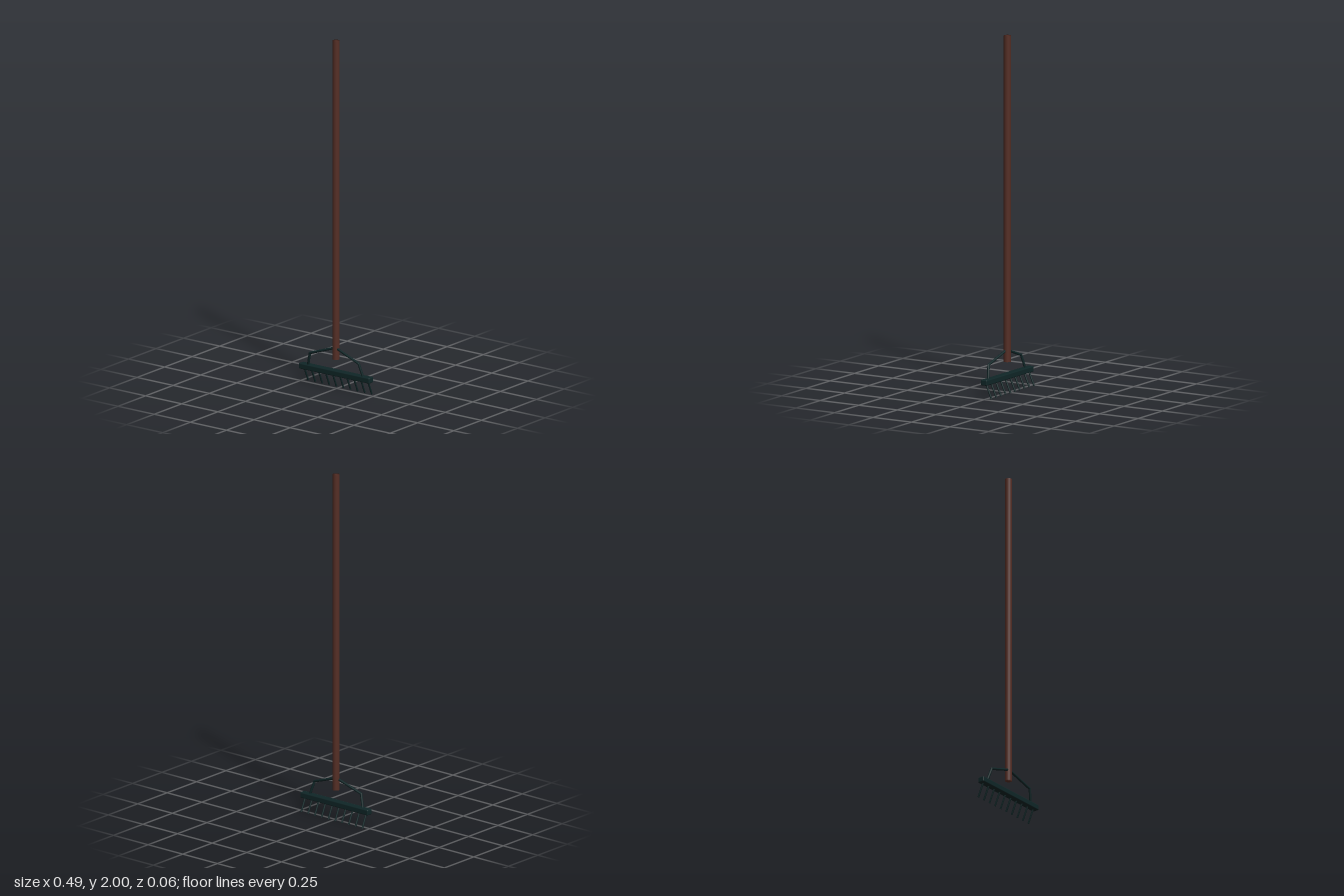
import * as THREE from 'three';
import { mergeVertices } from 'three/addons/utils/BufferGeometryUtils.js';
import { RoundedBoxGeometry } from 'three/addons/geometries/RoundedBoxGeometry.js';

const Z = 0.007; // depth of the handle axis

// Weld all corners so shading runs smoothly over the caps
function weld(geometry) {
  geometry.deleteAttribute('uv');
  geometry.deleteAttribute('normal');
  const welded = mergeVertices(geometry, 1e-5);
  welded.computeVertexNormals();
  return welded;
}

// Closed round rod between two points
function rod(a, b, radius, sides, material, name) {
  const dir = b.clone().sub(a);
  const mesh = new THREE.Mesh(weld(new THREE.CylinderGeometry(radius, radius, dir.length(), sides)), material);
  mesh.position.copy(a).add(b).multiplyScalar(0.5);
  mesh.quaternion.setFromUnitVectors(new THREE.Vector3(0, 1, 0), dir.normalize());
  mesh.name = name;
  return mesh;
}

export function createModel() {
  const model = new THREE.Group();
  model.name = 'gardenRake';
  const wood = new THREE.MeshStandardMaterial({ color: 0x552e25 });
  wood.name = 'darkWood';
  const metal = new THREE.MeshStandardMaterial({ color: 0x0f2627 });
  metal.name = 'darkGreenMetal';
  const v = (x, y, z) => new THREE.Vector3(x, y, z);

  // Long handle
  model.add(rod(v(0, 0.172, Z), v(0, 2, Z), 0.02, 20, wood, 'handle'));

  // Cross bar with softened edges
  const bar = new THREE.Mesh(new RoundedBoxGeometry(0.488, 0.032, 0.04, 2, 0.006), metal);
  bar.position.set(0, 0.093, Z);
  bar.name = 'crossBar';
  model.add(bar);

  // Bent braces from the handle down to the bar
  for (const side of [1, -1]) {
    const brace = new THREE.Group();
    brace.name = side > 0 ? 'leftBrace' : 'rightBrace';
    const top = v(0, 0.238, 0.011);
    const elbow = v(side * 0.168, 0.18, 0.023);
    const foot = v(side * 0.193, 0.095, 0.009);
    brace.add(rod(top, elbow, 0.007, 10, metal, 'upperBrace'));
    brace.add(rod(elbow, foot, 0.007, 10, metal, 'lowerBrace'));
    const joint = new THREE.Mesh(new THREE.SphereGeometry(0.007, 10, 8), metal);
    joint.position.copy(elbow);
    joint.name = 'braceElbow';
    brace.add(joint);
    model.add(brace);
  }

  // Row of tines sweeping backwards
  const tines = new THREE.Group();
  tines.name = 'tines';
  for (let i = 0; i < 10; i++) {
    const x = -0.22 + (i * 0.44) / 9;
    tines.add(rod(v(x, 0.088, 0.008), v(x, 0.003, -0.029), 0.005, 10, metal, 'tine'));
  }
  model.add(tines);

  return model;
}
